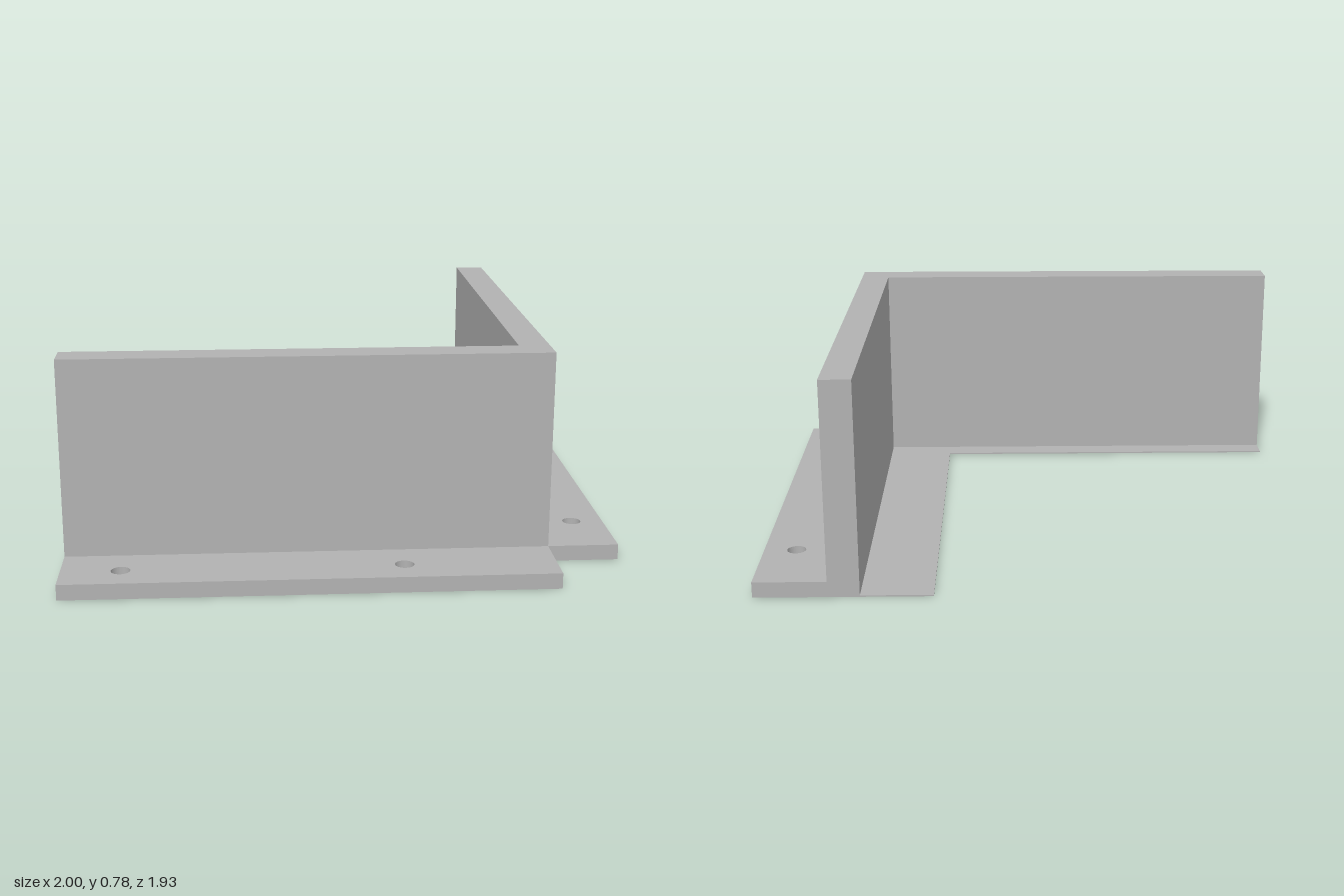
import * as THREE from 'three';

// Plan-view outline in (x, z), raised from the ground to the given height
function slab(name, outline, height, material, holes = []) {
  const shape = new THREE.Shape(outline.map(([x, z]) => new THREE.Vector2(x, z)));
  for (const [x, z] of holes) {
    shape.holes.push(new THREE.Path().absarc(x, z, 0.034, 0, Math.PI * 2, true));
  }
  const geometry = new THREE.ExtrudeGeometry(shape, { depth: height, bevelEnabled: false, curveSegments: 24 });
  geometry.rotateX(Math.PI / 2).translate(0, height, 0);
  const mesh = new THREE.Mesh(geometry, material);
  mesh.name = name;
  return mesh;
}

const rect = (x0, z0, x1, z1) => [[x0, z0], [x1, z0], [x1, z1], [x0, z1]];

// L outline between an inner corner (xi, zi) and an outer corner (xo, zo)
const corner = (xi, zi, xo, zo) => [[-1, zi], [xi, zi], [xi, BACK], [xo, BACK], [xo, zo], [-1, zo]];

const BACK = -0.965, FRONT = 0.965;
const WALL_X = 0.742, WALL_Z = 0.706; // outer faces of the wall
const IN_X = 0.63, IN_Z = 0.592;      // inner faces of the wall

export function createModel() {
  const grey = new THREE.MeshStandardMaterial({ color: 0xb2b2b2 });
  grey.name = 'plain grey';

  const group = new THREE.Group();
  group.name = 'cornerBracket';
  group.add(
    // Upright corner wall
    slab('cornerWall', corner(IN_X, IN_Z, WALL_X, WALL_Z), 0.78, grey),
    // Thin lip along the inside of the wall
    slab('innerLip', corner(0.375, 0.508, IN_X, IN_Z), 0.005, grey),
    // Outer mounting flanges with screw holes
    slab('frontFlange', rect(-1, WALL_Z, WALL_X, FRONT), 0.057, grey, [[-0.79, 0.848], [0.203, 0.848]]),
    slab('sideFlange', rect(WALL_X, BACK, 1, WALL_Z), 0.057, grey, [[0.883, -0.683], [0.883, 0.452]])
  );
  return group;
}
